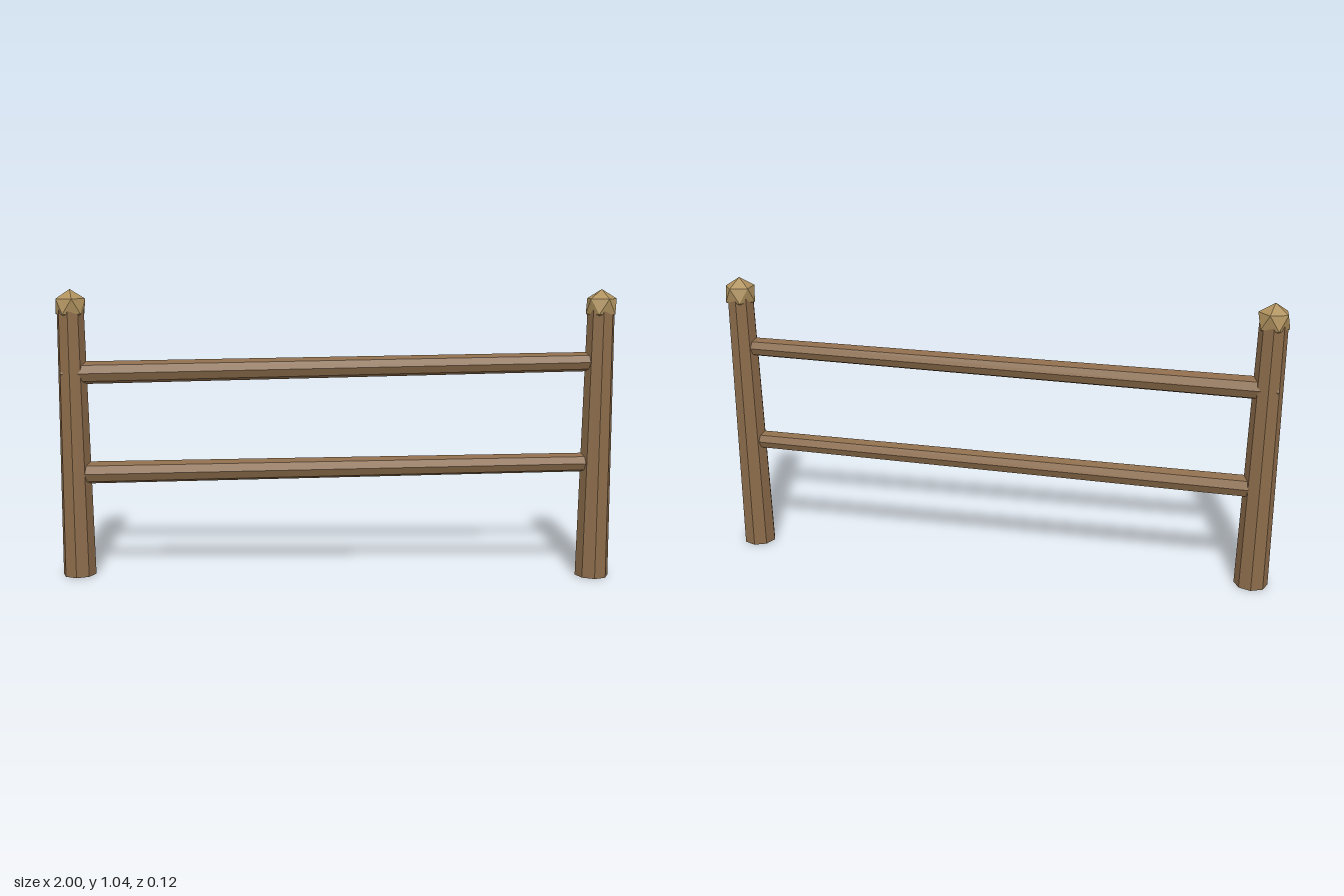
import * as THREE from 'three';

const wood = new THREE.MeshStandardMaterial({ color: 0x8b6b4a, flatShading: true });
const capWood = new THREE.MeshStandardMaterial({ color: 0xb0925f, flatShading: true });

const POST_X = 0.94;

function createPost(side) {
  const post = new THREE.Group();
  post.name = side > 0 ? 'leftPost' : 'rightPost';
  post.position.x = side * POST_X;

  // Tapered octagonal shaft
  const height = 0.97;
  const shaft = new THREE.Mesh(new THREE.CylinderGeometry(0.048, 0.06, height, 8), wood);
  shaft.name = 'postShaft';
  shaft.position.y = height / 2;

  // Faceted cap with one corner pointing straight up
  const capGeometry = new THREE.IcosahedronGeometry(0.06, 0);
  capGeometry.rotateX(-Math.atan((1 + Math.sqrt(5)) / 2));
  capGeometry.rotateY(Math.PI / 2);
  const cap = new THREE.Mesh(capGeometry, capWood);
  cap.name = 'postCap';
  cap.position.y = 0.981;

  post.add(shaft, cap);
  return post;
}

// Tapered rail, thick at the -x end and rising towards +x
function createRail(name, y) {
  const start = new THREE.Vector3(-0.975, y - 0.022, 0);
  const end = new THREE.Vector3(0.965, y + 0.022, 0);
  const dir = end.clone().sub(start);
  const rail = new THREE.Mesh(new THREE.CylinderGeometry(0.034, 0.041, dir.length(), 8), wood);
  rail.name = name;
  rail.position.copy(start).add(end).multiplyScalar(0.5);
  rail.quaternion.setFromUnitVectors(new THREE.Vector3(0, 1, 0), dir.normalize());
  return rail;
}

export function createModel() {
  const fence = new THREE.Group();
  fence.name = 'fence';
  for (const side of [-1, 1]) fence.add(createPost(side));
  fence.add(createRail('upperRail', 0.764), createRail('lowerRail', 0.4));
  return fence;
}
